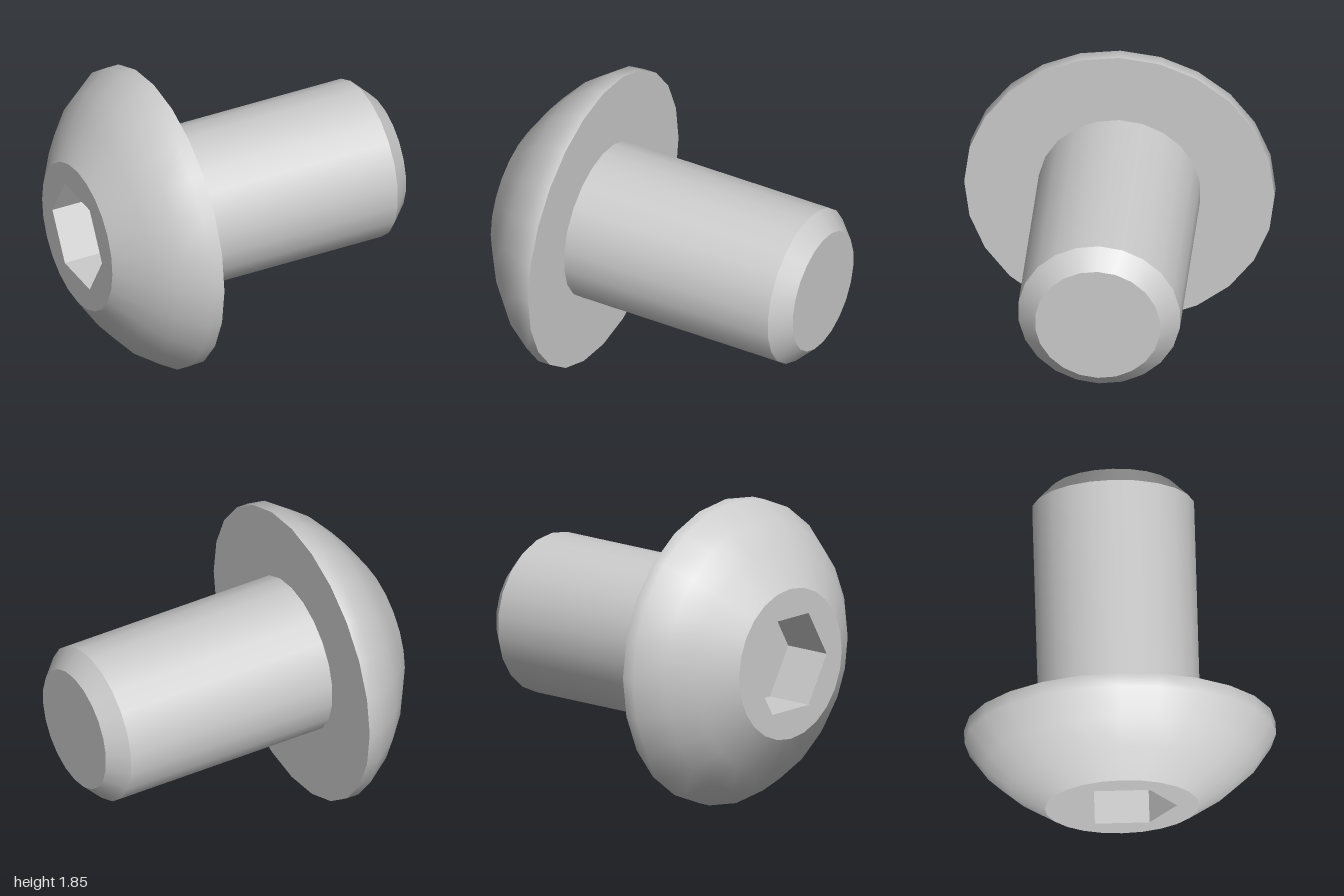
import * as THREE from 'three';

const HEAD_R = 0.925, FACE_R = 0.46, SHANK_R = 0.485, TIP_R = 0.375, HEX_R = 0.325;
const HEAD_SIDES = 24, SHANK_SIDES = 22;

const smooth = new THREE.MeshStandardMaterial({ color: 0xcccccc });
const faceted = new THREE.MeshStandardMaterial({ color: 0xcccccc, flatShading: true });

// Points on a regular polygon, first corner on the +y axis
function ring(radius, sides) {
  return Array.from({ length: sides }, (_, i) => {
    const a = (i / sides) * Math.PI * 2;
    return new THREE.Vector2(radius * Math.sin(a), radius * Math.cos(a));
  });
}

export function createModel() {
  // Built around the y axis, head at the bottom, then laid along x
  const screw = new THREE.Group();
  screw.name = 'screw';

  function add(name, geometry, material = smooth) {
    const mesh = new THREE.Mesh(geometry, material);
    mesh.name = name;
    screw.add(mesh);
    return mesh;
  }
  function turn(name, profile, sides, material) {
    const points = profile.map(([r, y]) => new THREE.Vector2(r, y));
    return add(name, new THREE.LatheGeometry(points, sides), material);
  }

  // Button head: rounded dome with a short rim, and a flat underside
  turn('headDome', [[FACE_R, -1], [0.67, -0.86], [0.815, -0.73], [HEAD_R, -0.57], [HEAD_R, -0.49]], HEAD_SIDES);
  turn('headUnderside', [[HEAD_R, -0.49], [0.3, -0.49]], HEAD_SIDES);

  // Flat face of the head with a hexagonal opening
  const face = new THREE.Shape(ring(FACE_R, HEAD_SIDES));
  face.holes.push(new THREE.Path(ring(HEX_R, 6)));
  add('headFace', new THREE.ShapeGeometry(face).rotateX(Math.PI / 2).translate(0, -1, 0));

  // Hex socket: floor and inward-facing walls
  turn('hexSocket', [[0, -0.695], [HEX_R, -0.695], [HEX_R, -1]], 6, faceted);

  // Shank with a chamfered, flat end
  const shank = [
    turn('shank', [[SHANK_R, -0.49], [SHANK_R, 0.89]], SHANK_SIDES),
    turn('shankChamfer', [[SHANK_R, 0.89], [TIP_R, 1]], SHANK_SIDES),
    turn('shankEnd', [[TIP_R, 1], [0, 1]], SHANK_SIDES),
  ];
  for (const part of shank) part.rotation.y = Math.PI / 2;

  screw.rotation.z = -Math.PI / 2;
  screw.position.y = HEAD_R;

  const model = new THREE.Group();
  model.name = 'buttonHeadScrew';
  model.add(screw);
  return model;
}
